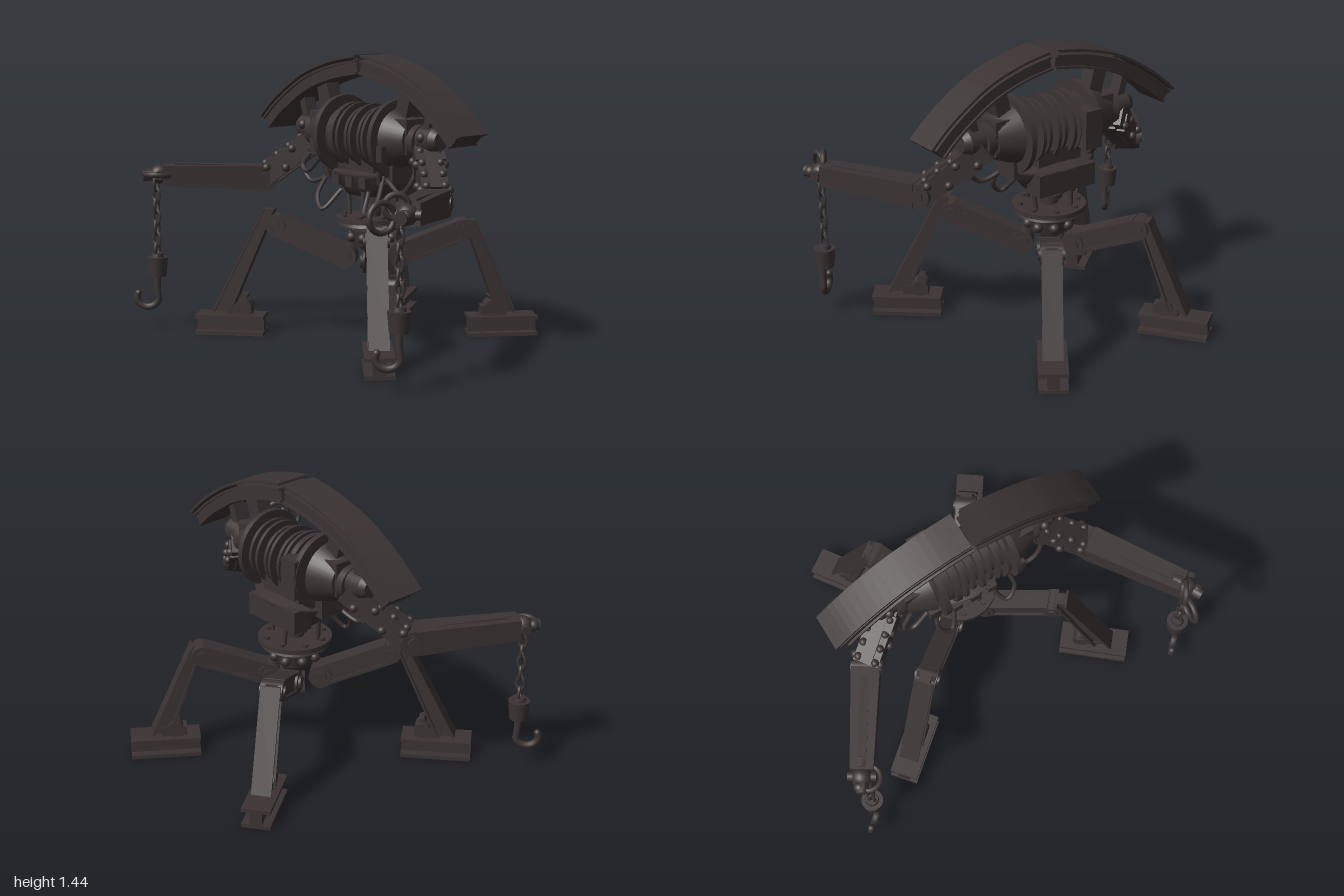
import * as THREE from 'three';

const iron = new THREE.MeshStandardMaterial({ color: 0x3b3333, side: THREE.DoubleSide });
iron.name = 'darkIron';
const V = (x, y, z) => new THREE.Vector3(x, y, z);

function add(parent, name, geo, x = 0, y = 0, z = 0) {
  const m = new THREE.Mesh(geo, iron);
  m.name = name;
  m.position.set(x, y, z);
  parent.add(m);
  return m;
}
const box = (w, h, d) => new THREE.BoxGeometry(w, h, d);
const cyl = (r0, r1, h, n = 28) => new THREE.CylinderGeometry(r0, r1, h, n);
const cylX = (r0, r1, h, n = 32) => cyl(r0, r1, h, n).rotateZ(-Math.PI / 2); // r0 at +x
const ball = (r) => new THREE.SphereGeometry(r, 18, 12);

// Group at a whose y axis points to b, x axis horizontal; returns [group, length]
function span(parent, name, a, b) {
  const g = new THREE.Group(), dir = b.clone().sub(a), len = dir.length();
  dir.normalize();
  const hint = Math.abs(dir.y) > 0.98 ? V(0, 0, 1) : V(0, 1, 0);
  const x = dir.clone().cross(hint).normalize(), z = x.clone().cross(dir);
  g.quaternion.setFromRotationMatrix(new THREE.Matrix4().makeBasis(x, dir, z));
  g.position.copy(a);
  g.name = name;
  parent.add(g);
  return [g, len];
}
function rod(parent, name, a, b, r) {
  const [g, len] = span(parent, name, a, b);
  add(g, name, cyl(r, r, len, 14), 0, len / 2);
}
function cable(parent, pts, r = 0.012) {
  add(parent, 'cable', new THREE.TubeGeometry(new THREE.CatmullRomCurve3(pts), 24, r, 8));
}
// I-section running along y: flanges w wide, d deep overall
function iBeam(len, w, d, t = 0.016, web = 0.06) {
  const a = w / 2, b = d / 2, c = web / 2, e = b - t;
  const pts = [[-a, -b], [a, -b], [a, -e], [c, -e], [c, e], [a, e], [a, b], [-a, b], [-a, e], [-c, e], [-c, -e], [-a, -e]];
  const s = new THREE.Shape(pts.map((p) => new THREE.Vector2(...p)));
  return new THREE.ExtrudeGeometry(s, { depth: len, bevelEnabled: false }).rotateX(-Math.PI / 2);
}
// Leaning shin with level ends, narrower at the top
function shinBeam(h, lean) {
  const geo = iBeam(h, 0.1, 0.1, 0.016).rotateY(Math.PI / 2), p = geo.attributes.position;
  for (let i = 0; i < p.count; i++) {
    const u = p.getY(i) / h;
    p.setX(i, p.getX(i) * (1 - 0.42 * u) + lean * u);
  }
  geo.computeVertexNormals();
  return geo;
}

// Leg in a plane: local x is outward from the hub
function leg(parent, name, dx, dz, p) {
  const g = new THREE.Group();
  g.name = name;
  g.position.set(0, 0, -0.045);
  g.rotation.y = Math.atan2(-dz, dx);
  parent.add(g);
  const hip = V(0.135, p.hipY, 0), knee = V(p.kneeR, p.kneeY, 0);
  const axle = (r, w, n, x, y) => add(g, n, cyl(r, r, w, 24).rotateX(Math.PI / 2), x, y);
  axle(0.06, 0.105, 'hipJoint', hip.x, hip.y);
  axle(0.035, 0.13, 'hipPin', hip.x, hip.y);
  const [t, len] = span(g, 'thigh', hip, knee);
  add(t, 'thighBeam', iBeam(len - 0.02, 0.1, 0.11, 0.016, 0.08), 0, 0.01);
  axle(0.052, 0.11, 'kneeJoint', knee.x, knee.y);
  axle(0.028, 0.13, 'kneePin', knee.x, knee.y);
  add(g, 'shin', shinBeam(p.topY - 0.125, p.topR - p.lowR), p.lowR, 0.125);
  // Ankle and I-section foot
  add(g, 'ankleBlock', box(0.13, 0.06, 0.07), p.footR - 0.045, 0.13);
  axle(0.042, 0.09, 'ankleJoint', p.ankleR, 0.15);
  const [k] = span(g, 'ankleBracket', V(p.ankleR + 0.02, 0.13, 0), V(p.ankleR - 0.015, 0.24, 0));
  add(k, 'ankleBracket', box(0.07, 0.09, 0.03), 0, 0.045);
  add(g, 'footTop', box(0.355, 0.018, 0.145), p.footR, 0.1);
  add(g, 'footWeb', box(0.35, 0.07, 0.06), p.footR, 0.06);
  add(g, 'footSole', box(0.355, 0.02, 0.145), p.footR, 0.016);
}

// Arched band extruded in z, between two offsets below an arc from x0 to x1
function archBand(x0, x1, u0, u1, t0, t1, depth) {
  const arc = new THREE.SplineCurve([[0, 1.45], [0.26, 1.415], [0.55, 1.34], [0.83, 1.21], [1, 1.1]]
    .map(([u, y]) => new THREE.Vector2(x0 + (x1 - x0) * u, y)));
  const off = (t) => Array.from({ length: 21 }, (_, i) => {
    const u = u0 + (i / 20) * (u1 - u0), p = arc.getPoint(u), d = arc.getTangent(u), k = Math.sign(x1 - x0);
    return new THREE.Vector2(p.x + d.y * t * k, p.y - d.x * t * k);
  });
  const s = new THREE.Shape([...off(t0), ...off(t1).reverse()]);
  return new THREE.ExtrudeGeometry(s, { depth, bevelEnabled: false }).translate(0, 0, -depth / 2);
}

function arm(parent, s) {
  const g = new THREE.Group();
  g.name = s > 0 ? 'leftArm' : 'rightArm';
  parent.add(g);
  const P = (x, y, z) => V(x * s, y, z);
  const shoulder = P(0.38, 1.02, -0.05), elbow = P(0.64, 0.785, 0.13), wrist = P(0.935, 0.81, 0.6);
  const [u, ul] = span(g, 'upperArm', shoulder, elbow);
  add(u, 'upperArmBeam', box(0.13, ul, 0.105), 0, ul / 2);
  add(u, 'upperArmCuff', box(0.145, 0.09, 0.125), 0, ul * 0.3);
  add(u, 'upperArmRail', box(0.06, ul * 0.8, 0.13), 0, ul * 0.5);
  for (const x of [-1, 1]) for (let i = 0; i < 4; i++) {
    add(u, 'rivet', ball(0.022), x * 0.068, ul * (0.2 + i * 0.22), i % 2 ? 0.03 : -0.03);
    add(u, 'rivet', ball(0.02), x * 0.045, ul * (0.25 + i * 0.2), 0.055);
  }
  const [f, fl] = span(g, 'forearm', elbow, wrist);
  add(f, 'elbowJoint', cyl(0.064, 0.064, 0.13).rotateZ(Math.PI / 2));
  add(f, 'elbowPin', cyl(0.032, 0.032, 0.155).rotateZ(Math.PI / 2));
  const taper = cyl(0.072, 0.09, fl - 0.04, 4).rotateY(Math.PI / 4).scale(1.12, 1, 1).toNonIndexed();
  taper.computeVertexNormals();
  add(f, 'forearmBeam', taper, 0, fl / 2);
  add(f, 'forearmRail', box(0.045, fl * 0.75, 0.125), 0, fl * 0.48);
  add(f, 'wristCollar', cyl(0.055, 0.055, 0.04), 0, fl - 0.05);
  add(f, 'wristJoint', ball(0.05), 0, fl);
  add(f, 'wristPin', cyl(0.024, 0.024, 0.14).rotateZ(Math.PI / 2), 0, fl);
  rod(g, 'handBar', wrist, P(0.975, 0.805, 0.675), 0.03);
  add(g, 'handKnuckle', ball(0.03), s * 0.97, 0.81, 0.64);
  // Shackle rings
  const ring = (r, x, y, z, ry, rx) => {
    const m = add(g, 'shackleRing', new THREE.TorusGeometry(r, 0.014, 10, 24), x, y, z);
    m.rotation.set(rx, ry, 0, 'YXZ');
  };
  if (s > 0) {
    ring(0.068, 0.885, 0.8, 0.705, 1.45, 0);
    ring(0.056, 0.9, 0.845, 0.63, 1.0, 0);
  } else ring(0.062, -0.915, 0.81, 0.625, 0.3, 1.45);
  // Chain, hook block and hook
  const cx = s * 0.92, cz = 0.63;
  for (let i = 0; i < 7; i++) {
    const link = new THREE.TorusGeometry(0.02, 0.008, 6, 14).scale(1, 1.65, 1).rotateY(i % 2 ? 0.4 : 1.97);
    add(g, 'chainLink', link, cx, 0.765 - i * 0.058, cz);
  }
  add(g, 'hookBlock', cyl(0.055, 0.046, 0.1, 20), cx, 0.33, cz);
  add(g, 'hookCap', cyl(0.03, 0.036, 0.03, 16), cx, 0.385, cz);
  const hookPts = [[0, 0.28], [0, 0.22]];
  for (let i = 0; i <= 8; i++) {
    const a = 0.3 - (i / 8) * 3.9;
    hookPts.push([-0.05 + 0.056 * Math.cos(a), 0.168 + 0.05 * Math.sin(a)]);
  }
  const hook = new THREE.CatmullRomCurve3(hookPts.map(([h, y]) => V(h * 0.72, y, -h * 0.7)));
  add(g, 'hook', new THREE.TubeGeometry(hook, 40, 0.018, 10), cx + 0.01, 0, cz + 0.01);
  const tip = hook.getPoint(1);
  add(g, 'hookTip', ball(0.018), cx + 0.01 + tip.x, tip.y, cz + 0.01 + tip.z);
}

function torso(root) {
  const g = new THREE.Group();
  g.name = 'torso';
  g.position.set(0, 1.04, -0.022);
  root.add(g);
  // Coil drum along x
  add(g, 'drumCore', cylX(0.115, 0.115, 0.44));
  add(g, 'rearHousing', box(0.1, 0.2, 0.12), -0.145, 0, -0.14);
  const discs = [[-0.185, 0.197, 0.03], [-0.14, 0.14, 0.08], [-0.105, 0.165, 0.03], [0.215, 0.197, 0.028], [0.18, 0.16, 0.018]];
  for (let i = 0; i < 5; i++) discs.push([-0.06 + i * 0.047, i % 2 ? 0.15 : 0.165, 0.018]);
  for (const [x, r, w] of discs) add(g, 'drumDisc', cylX(r, r, w, 40), x);
  for (const s of [-1, 1]) {
    add(g, 'drumShell', s > 0 ? cylX(0.1, 0.155, 0.13) : cylX(0.155, 0.1, 0.13), s * 0.285, 0.005);
    add(g, 'shoulderHousing', box(0.1, 0.17, 0.16), s * 0.31, 0.025);
    add(g, 'shoulderCollar', cylX(0.085, 0.085, 0.05), s * 0.375);
    add(g, 'shoulderJoint', cylX(0.066, 0.066, 0.12), s * 0.425, 0.015);
    add(g, 'shoulderCap', s > 0 ? cylX(0.045, 0.066, 0.035) : cylX(0.066, 0.045, 0.035), s * 0.5, 0.015);
    add(g, 'shoulderRivet', ball(0.025), s * 0.44, 0.03, 0.06);
    add(g, 'frontBox', box(0.06, 0.08, 0.04), s * 0.24, -0.06, 0.14);
    add(g, 'lowerBracket', box(0.07, 0.14, 0.14), s * 0.215, -0.15);
    rod(g, 'sideRod', V(s * 0.23, -0.02, 0.14), V(s * 0.19, -0.22, 0.1), 0.015);
  }
  // Guards and their struts
  for (const [name, x0, x1] of [['leftGuard', 0.045, 0.738], ['rightGuard', -0.005, -0.755]]) {
    const q = new THREE.Group(), s = Math.sign(x1);
    q.name = name;
    q.position.z = -0.02;
    root.add(q);
    add(q, 'guardPlate', archBand(x0, x1, 0, 1, 0, 0.013, 0.19));
    add(q, 'guardUpperFlange', archBand(x0, x1, 0, 0.97, 0.026, 0.038, 0.19));
    add(q, 'guardWeb', archBand(x0, x1, 0, 0.97, 0.036, 0.09, 0.165));
    add(q, 'guardLowerFlange', archBand(x0, x1, 0, 0.97, 0.086, 0.097, 0.19));
    for (const u of [0.1, 0.5, 0.9]) add(q, 'guardSpacer', archBand(x0, x1, u, u + 0.04, 0.01, 0.03, 0.03));
    const [a, al] = span(q, 'innerStrut', V(s * 0.27, 1.14, 0), V(s * 0.315, 1.3, 0));
    add(a, 'innerStrut', box(0.08, al, 0.08), 0, al / 2);
    const [b, bl] = span(q, 'outerStrut', V(s * 0.44, 1.09, 0), V(s * 0.48, 1.22, 0));
    add(b, 'outerStrut', box(0.07, bl, 0.04), 0, bl / 2);
  }
}

function waist(root) {
  const g = new THREE.Group();
  g.name = 'waist';
  g.position.z = -0.045;
  root.add(g);
  // Pelvis bowl with rear box
  const bowl = [[0.001, 0.745], [0.15, 0.745], [0.19, 0.79], [0.23, 0.845], [0.235, 0.865], [0.001, 0.89]];
  add(g, 'pelvisBowl', new THREE.LatheGeometry(bowl.map((p) => new THREE.Vector2(...p)), 32).scale(1, 1, 0.68));
  add(g, 'rearBox', box(0.34, 0.115, 0.11), 0, 0.8, -0.1);
  add(g, 'pelvisNeck', box(0.26, 0.12, 0.2), 0, 0.89, 0.01);
  for (const x of [-0.1, 0, 0.1]) add(g, 'pelvisBolt', box(0.05, 0.05, 0.04), x, 0.82, 0.14);
  // Stacked column, turntable and hub: name, top radius, low radius, height, y
  for (const [n, r0, r1, h, y] of [
    ['column', 0.045, 0.045, 0.14, 0.69], ['columnRing', 0.065, 0.065, 0.025, 0.675], ['columnFlange', 0.08, 0.08, 0.02, 0.73],
    ['turntable', 0.187, 0.187, 0.024, 0.622], ['turntableLip', 0.165, 0.175, 0.022, 0.602],
    ['hubRing', 0.12, 0.12, 0.025, 0.58], ['hub', 0.115, 0.09, 0.09, 0.53]]) add(g, n, cyl(r0, r1, h, 36), 0, y);
  add(g, 'hubDome', ball(0.08), 0, 0.52);
  for (let i = 0; i < 8; i++) {
    const a = ((i + 0.5) / 8) * Math.PI * 2, c = Math.cos(a), s = Math.sin(a);
    add(g, 'hubBolt', ball(0.026), c * 0.11, 0.53, s * 0.11);
    add(g, 'turntableBolt', cyl(0.016, 0.016, 0.025, 10), c * 0.15, 0.635, s * 0.15);
    if (i % 2) rod(g, 'waistPiston', V(c * 0.125, 0.62, s * 0.125), V(c * 0.14, 0.77, s * 0.115), 0.012);
  }
}

export function createModel() {
  const root = new THREE.Group();
  root.name = 'walkingCrane';
  torso(root);
  waist(root);
  const front = { hipY: 0.425, kneeR: 0.49, kneeY: 0.58, topR: 0.525, topY: 0.66, lowR: 0.775, footR: 0.73, ankleR: 0.66 };
  const back = { hipY: 0.435, kneeR: 0.475, kneeY: 0.56, topR: 0.5, topY: 0.605, lowR: 0.69, footR: 0.67, ankleR: 0.62 };
  for (const s of [-1, 1]) {
    const side = s > 0 ? 'Left' : 'Right';
    leg(root, 'front' + side + 'Leg', s * 0.766, 0.643, front);
    leg(root, 'back' + side + 'Leg', s * 0.577, -0.817, back);
    arm(root, s);
    // Hanging cables
    cable(root, [V(s * 0.4, 0.97, 0.02), V(s * 0.41, 0.87, 0.06), V(s * 0.34, 0.79, 0.07), V(s * 0.2, 0.84, 0.04)]);
    cable(root, [V(s * 0.2, 0.86, 0.06), V(s * 0.22, 0.73, 0.13), V(s * 0.16, 0.67, 0.15), V(s * 0.1, 0.77, 0.07)]);
  }
  cable(root, [V(-0.32, 0.97, 0.05), V(-0.39, 0.87, 0.08), V(-0.35, 0.84, 0.09), V(-0.25, 0.92, 0.08)]);
  return root;
}
